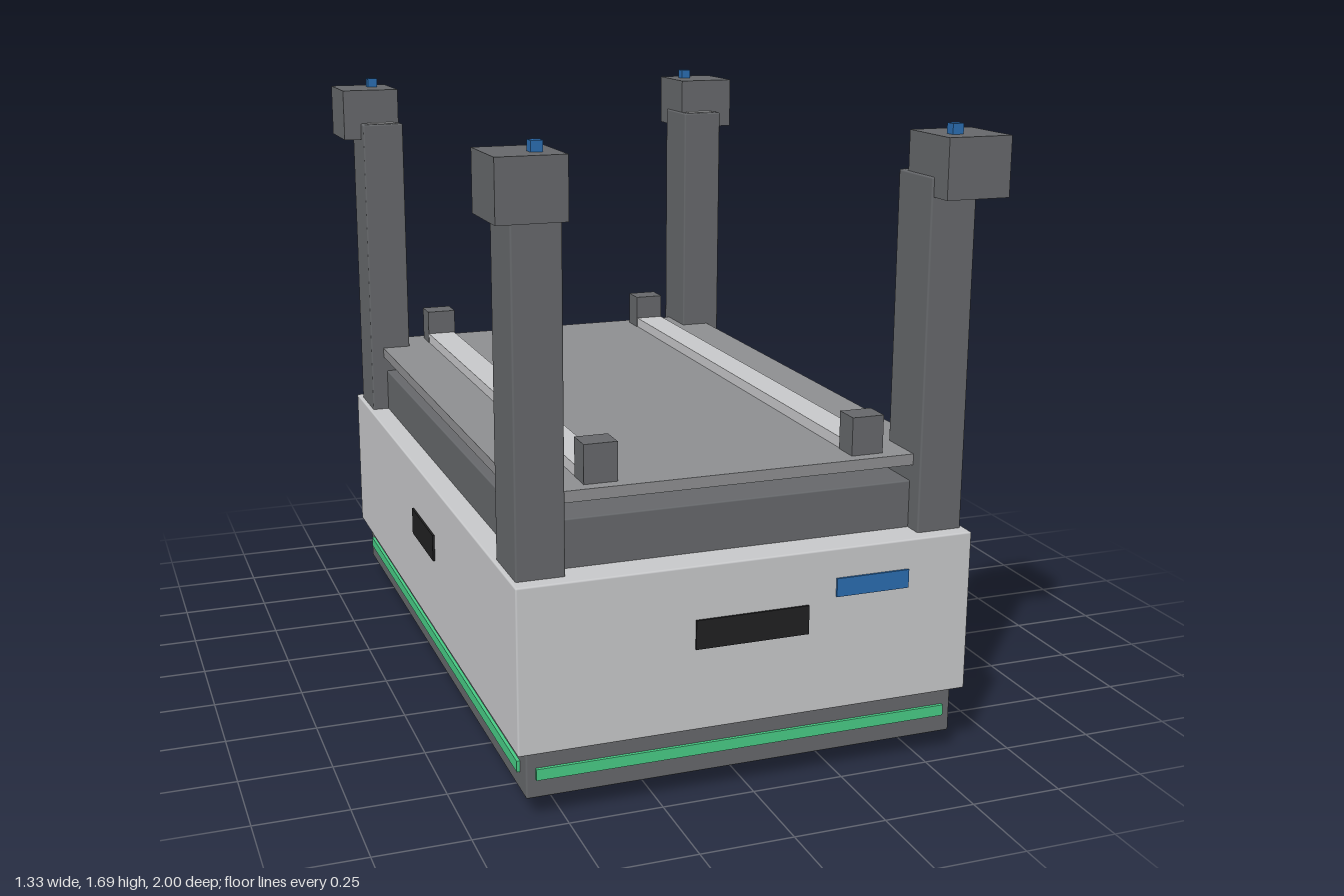
import * as THREE from 'three';
import { RoundedBoxGeometry } from 'three/addons/geometries/RoundedBoxGeometry.js';

const mat = (name, color, side = THREE.FrontSide) => {
  const m = new THREE.MeshStandardMaterial({ color, side });
  m.name = name;
  return m;
};

export function createModel() {
  const model = new THREE.Group();
  model.name = 'transportCart';
  const light = mat('light grey', 0xc8c9cb);
  const mid = mat('mid grey', 0x8e8f91);
  const dark = mat('dark grey', 0x66686b);
  const black = mat('black', 0x202021, THREE.DoubleSide);
  const blue = mat('blue', 0x2a6cb0);
  const green = mat('green', 0x48cc86);

  // Box given by its extents on each axis, optionally with softened edges
  const box = (name, material, [x0, x1], [y0, y1], [z0, z1], bevel = 0) => {
    const size = [x1 - x0, y1 - y0, z1 - z0];
    const geometry = bevel
      ? new RoundedBoxGeometry(...size, 2, bevel)
      : new THREE.BoxGeometry(...size);
    const mesh = new THREE.Mesh(geometry, material);
    mesh.position.set((x0 + x1) / 2, (y0 + y1) / 2, (z0 + z1) / 2);
    mesh.name = name;
    model.add(mesh);
    return mesh;
  };
  // Extents mirrored to the side given by s
  const flip = (s, a, b) => (s > 0 ? [a, b] : [-b, -a]);

  // Stacked hull and load deck
  box('chassis', dark, [-0.595, 0.595], [0.055, 0.19], [-0.947, 0.947], 0.005);
  box('body', light, [-0.622, 0.622], [0.185, 0.627], [-0.973, 0.973], 0.005);
  box('upperFrame', dark, [-0.56, 0.56], [0.62, 0.755], [-0.88, 0.88], 0.004);
  box('deck', mid, [-0.57, 0.57], [0.802, 0.832], [-0.895, 0.895]);

  for (const s of [1, -1]) {
    // Light strips and sensor panels on all four sides
    box('endLightStrip', green, [-0.57, 0.57], [0.106, 0.136], flip(s, 0.946, 0.956));
    box('sideLightStrip', green, flip(s, 0.594, 0.604), [0.106, 0.136], [-0.895, 0.895]);
    box('endPanel', black, [-0.155, 0.155], [0.406, 0.484], flip(s, 0.971, 0.979));
    box('sidePanel', black, flip(s, 0.62, 0.628), [0.406, 0.484], [-0.13, 0.13]);
    box('endDisplay', blue, [0.232, 0.438], [0.497, 0.547], flip(s, 0.971, 0.979));

    // Load rail
    box('rail', light, flip(s, 0.325, 0.41), [0.83, 0.862], [-0.79, 0.79]);

    for (const t of [1, -1]) {
      // Rail end stop
      box('railStop', dark, flip(s, 0.322, 0.411), [0.83, 0.935], flip(t, 0.785, 0.86));

      // Corner post with head and indicator
      box('post', dark, flip(s, 0.483, 0.61), [0.62, 1.56], flip(t, 0.757, 0.933), 0.005);
      box('postCap', light, flip(s, 0.505, 0.59), [1.557, 1.562], flip(t, 0.77, 0.92));
      box('postHead', dark, flip(s, 0.488, 0.663), [1.51, 1.665], flip(t, 0.798, 1.0));
      box('indicator', blue, flip(s, 0.53, 0.56), [1.66, 1.692], flip(t, 0.91, 0.94));

      // Wheel, a pair of thin discs
      for (const x of [0.365, 0.465]) {
        const disc = new THREE.Mesh(new THREE.CircleGeometry(0.12, 32), black);
        disc.name = 'wheelDisc';
        disc.rotation.y = Math.PI / 2;
        disc.position.set(s * x, 0.12, t * 0.665);
        model.add(disc);
      }
    }
  }
  return model;
}
